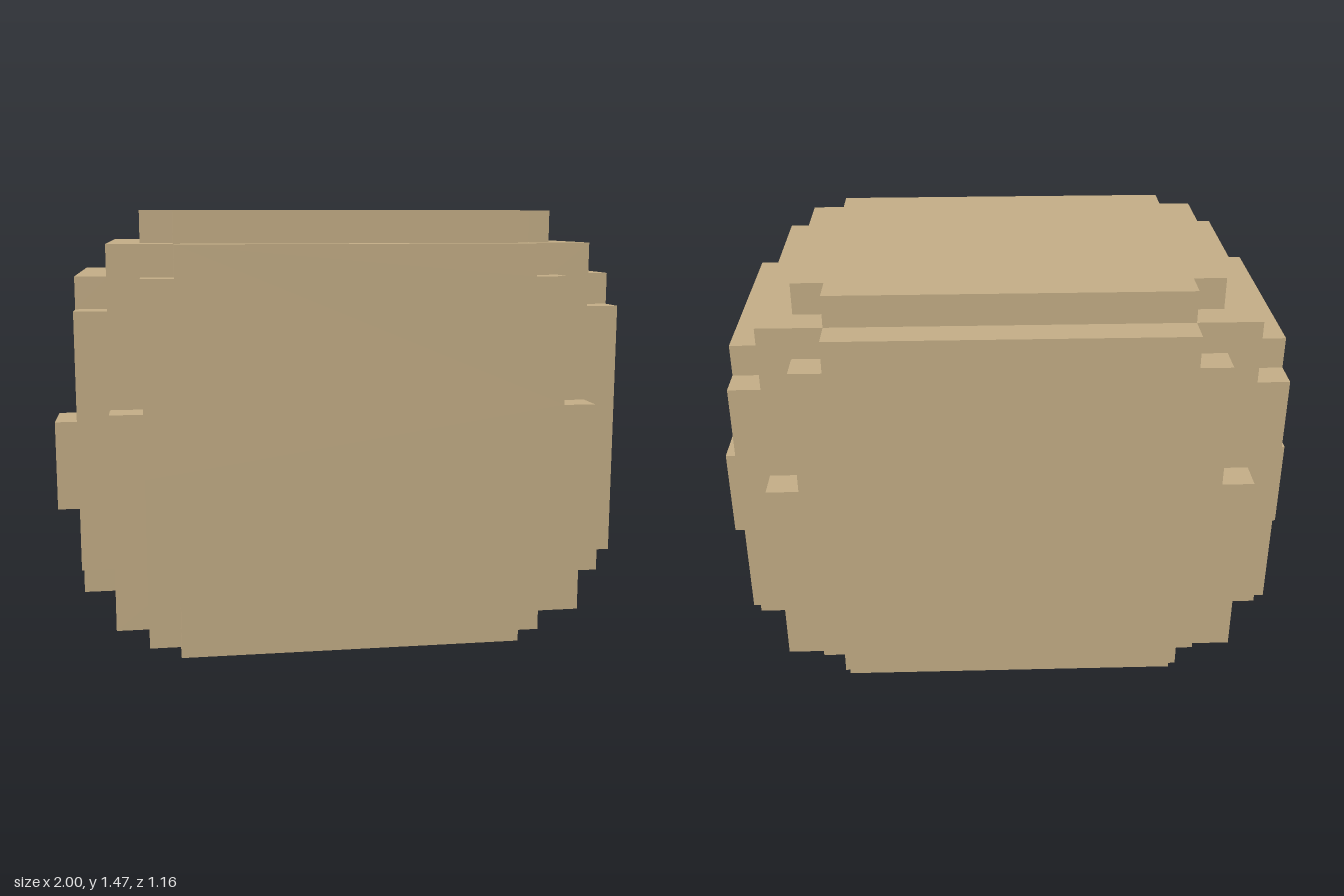
import * as THREE from 'three';

const U = 2 / 19; // one block unit

export function createModel() {
  const model = new THREE.Group();
  const tan = new THREE.MeshStandardMaterial({ color: 0xc2ac85 });
  tan.name = 'tan';

  const add = (name, geometry) => {
    const mesh = new THREE.Mesh(geometry, tan);
    mesh.name = name;
    model.add(mesh);
    return mesh;
  };

  // One-unit-thick plate with a square notch in each corner and optional side tabs
  const plate = (w, h, tab) => {
    const right = [[w, 1 - h]];
    if (tab) right.push([w, tab[0]], [w + 1, tab[0]], [w + 1, tab[1]], [w, tab[1]]);
    right.push([w, h - 1], [w - 1, h - 1], [w - 1, h]);
    right.unshift([w - 1, -h], [w - 1, 1 - h]);
    const left = right.map(([x, y]) => [-x, y]).reverse();
    const points = [...right, ...left].map(([x, y]) => new THREE.Vector2(x * U, y * U));
    return new THREE.ExtrudeGeometry(new THREE.Shape(points), { depth: U, bevelEnabled: false });
  };

  // Central block
  add('core', new THREE.BoxGeometry(15 * U, 12 * U, 9 * U)).position.y = 7 * U;

  // Front and back plates with side tabs
  const face = plate(6.5, 6, [-1, 1]);
  add('frontPlate', face).position.set(0, 7 * U, 4.5 * U);
  const back = add('backPlate', face);
  back.position.set(0, 7 * U, -4.5 * U);
  back.rotation.y = Math.PI;

  // Top and bottom plates
  const cap = plate(6.5, 4.5);
  const top = add('topPlate', cap);
  top.position.y = 13 * U;
  top.rotation.x = -Math.PI / 2;
  const bottom = add('bottomPlate', cap);
  bottom.position.y = U;
  bottom.rotation.x = Math.PI / 2;

  // Side plates, each with a small ear block
  const side = plate(4.5, 5);
  for (const [name, s] of [['left', 1], ['right', -1]]) {
    const panel = add(name + 'Plate', side);
    panel.position.set(s * 7.5 * U, 7 * U, 0);
    panel.rotation.y = s * Math.PI / 2;
    add(name + 'Ear', new THREE.BoxGeometry(U, 3 * U, 2 * U))
      .position.set(s * 9 * U, 5.5 * U, -0.5 * U);
  }

  return model;
}
